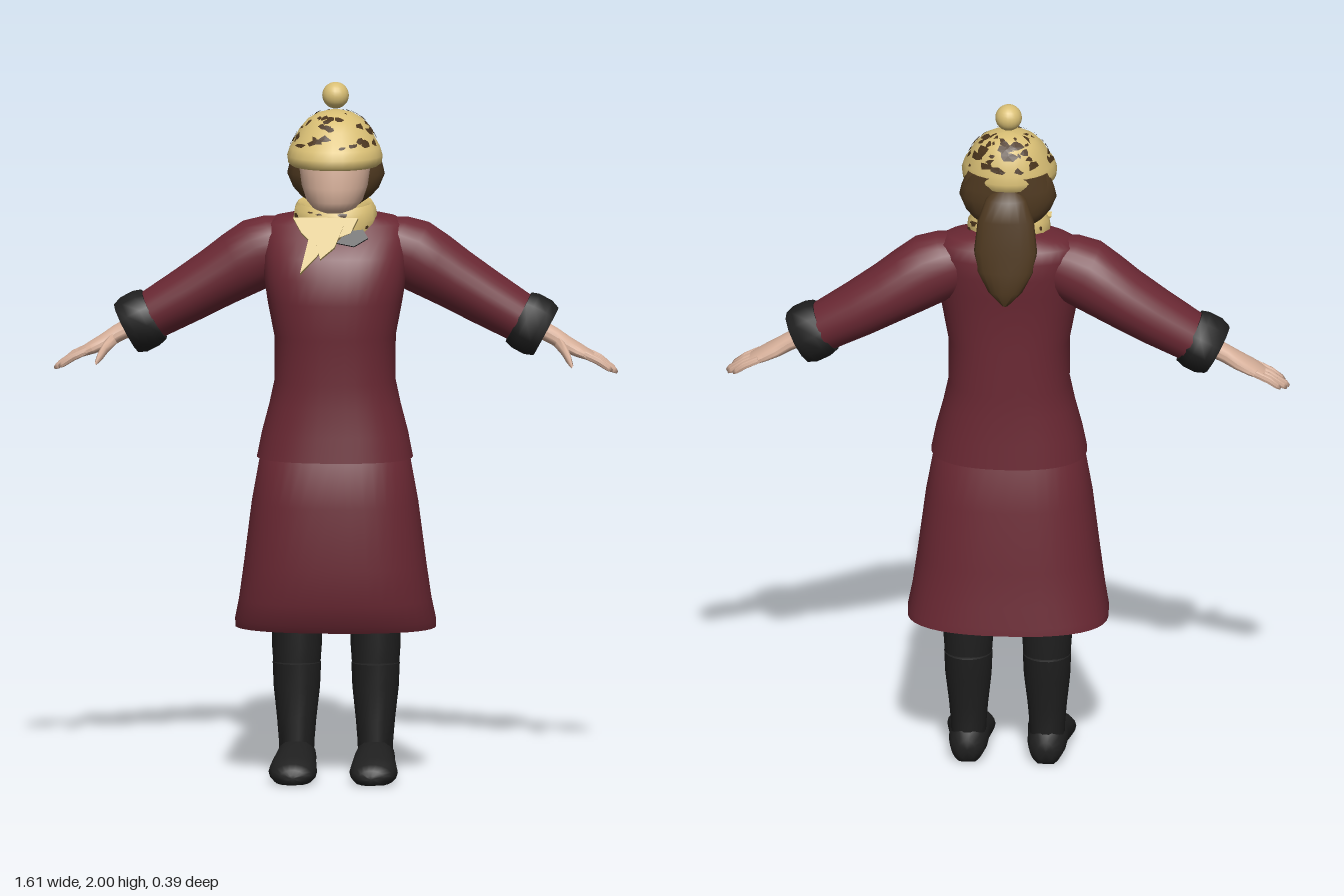
import * as THREE from 'three';
import { mergeGeometries, toCreasedNormals } from 'three/addons/utils/BufferGeometryUtils.js';

const mat = (name, color, side = THREE.FrontSide) => {
  const m = new THREE.MeshStandardMaterial({ color, side });
  m.name = name;
  return m;
};

// Closed skin over rings [y, centreX, centreZ, radiusX, radiusZ], listed upwards;
// a power below 1 squares the ellipse off
function loft(rings, n = 24, crease = 0.9, power = 1) {
  const pos = [], idx = [];
  const bend = v => Math.sign(v) * Math.abs(v) ** power;
  for (const [y, cx, cz, rx, rz] of rings) {
    for (let j = 0; j < n; j++) {
      const a = (j / n) * Math.PI * 2;
      pos.push(cx + rx * bend(Math.cos(a)), y, cz + rz * bend(Math.sin(a)));
    }
  }
  const last = (rings.length - 1) * n, c0 = rings.length * n;
  for (const r of [rings[0], rings[rings.length - 1]]) pos.push(r[1], r[0], r[2]);
  for (let j = 0; j < n; j++) {
    const k = (j + 1) % n;
    for (let i = 0; i < last; i += n) idx.push(i + j, i + n + j, i + k, i + k, i + n + j, i + n + k);
    idx.push(c0, j, k, c0 + 1, last + k, last + j);
  }
  const g = new THREE.BufferGeometry();
  g.setAttribute('position', new THREE.Float32BufferAttribute(pos, 3));
  g.setIndex(idx);
  return toCreasedNormals(g, crease);
}

// Irregular thin patches scattered over a lofted surface between ring t0 and t1
function patches(rings, t0, t1, count, size, seed, centre) {
  const rnd = () => (seed = (seed * 16807) % 2147483647) / 2147483647;
  const c = new THREE.Vector3(...centre), pos = [];
  const at = (t, a) => {
    t = Math.min(Math.max(t, 0), rings.length - 1.001);
    const i = Math.floor(t);
    const [y, cx, cz, rx, rz] = rings[i].map((v, k) => v + (rings[i + 1][k] - v) * (t - i));
    const p = new THREE.Vector3(cx + rx * Math.cos(a), y, cz + rz * Math.sin(a));
    return p.addScaledVector(p.clone().sub(c).normalize(), 0.003);
  };
  for (let s = 0; s < count; s++) {
    const t = t0 + (t1 - t0) * rnd(), a = rnd() * Math.PI * 2, r = size * (0.4 + 0.8 * rnd());
    const wide = 0.5 + rnd(), pts = [];
    for (let k = 0; k < 7; k++) {
      const th = (k / 7) * Math.PI * 2, q = r * (0.4 + rnd());
      pts.push(at(t + (q * Math.cos(th)) / 0.04, a + (q * wide * Math.sin(th)) / 0.1));
    }
    const mid = at(t, a);
    pts.forEach((p, k) => pos.push(...mid, ...p, ...pts[(k + 1) % 7]));
  }
  const g = new THREE.BufferGeometry();
  g.setAttribute('position', new THREE.Float32BufferAttribute(pos, 3));
  g.computeVertexNormals();
  return g;
}

// Flat cloth piece cut from an outline, sloping forward as it hangs on the chest
function cloth(points, depth, z) {
  const g = new THREE.ExtrudeGeometry(new THREE.Shape(points.map(p => new THREE.Vector2(p[0], p[1] - 1.6))),
    { depth, bevelEnabled: false });
  return g.rotateX(-0.4).translate(0, 1.6, z);
}

export function createModel() {
  const model = new THREE.Group();
  const burgundy = mat('burgundy wool', 0x6a2833);
  const charcoal = mat('charcoal', 0x1f1f1f);
  const skin = mat('skin', 0xd8b19b);
  const hair = mat('brown hair', 0x4f3920);
  const straw = mat('straw knit', 0xd8be74);
  const spot = mat('dark brown spots', 0x4a341c, THREE.DoubleSide);
  const add = (name, g, m, parent = model) => {
    const mesh = new THREE.Mesh(g, m);
    mesh.name = name;
    parent.add(mesh);
    return mesh;
  };

  // Long skirt with the hem tucked under, and the jacket over it
  add('skirt', loft([
    [0.475, 0, -0.01, 0.17, 0.1], [0.45, 0, -0.015, 0.25, 0.15], [0.438, 0, -0.018, 0.286, 0.175],
    [0.46, 0, -0.01, 0.286, 0.181], [0.52, 0, 0.004, 0.274, 0.186], [0.62, 0, 0.012, 0.26, 0.184],
    [0.8, 0, 0.02, 0.237, 0.174], [0.95, 0, 0.023, 0.21, 0.152], [1.0, 0, 0.02, 0.18, 0.13]], 40, 0.9, 0.82), burgundy);
  add('jacket', loft([
    [0.935, 0, 0.022, 0.21, 0.15], [0.93, 0, 0.022, 0.222, 0.163], [1.0, 0, 0.021, 0.208, 0.157],
    [1.08, 0, 0.02, 0.187, 0.15], [1.15, 0, 0.02, 0.172, 0.149], [1.28, 0, 0.022, 0.173, 0.151],
    [1.38, 0, 0.027, 0.192, 0.156], [1.45, 0, 0.018, 0.203, 0.154], [1.51, 0, 0.004, 0.206, 0.146],
    [1.56, 0, -0.018, 0.206, 0.124], [1.595, 0, -0.03, 0.2, 0.1], [1.612, 0, -0.03, 0.17, 0.085],
    [1.628, 0, -0.02, 0.09, 0.075]], 40, 1.2, 0.85), burgundy);

  for (const s of [1, -1]) {
    const side = s > 0 ? 'left' : 'right';
    // Arm runs along local y, with local x pointing down
    const arm = new THREE.Group();
    arm.name = side + 'Arm';
    arm.position.set(0.12 * s, 1.535, 0);
    arm.rotation.z = -s * 2.059;
    model.add(arm);
    const limb = (rings, n, crease) => loft(rings.map(([y, cx, ...r]) => [y, cx * s, ...r]), n, crease);
    add(side + 'Sleeve', limb([
      [-0.03, 0.0, -0.03, 0.07, 0.07], [0.04, -0.012, -0.032, 0.095, 0.088], [0.1, -0.019, -0.036, 0.102, 0.097],
      [0.17, -0.016, -0.043, 0.096, 0.098], [0.24, -0.011, -0.048, 0.088, 0.097],
      [0.34, -0.005, -0.05, 0.08, 0.092], [0.47, 0, -0.048, 0.07, 0.078]], 24), burgundy, arm);
    add(side + 'Cuff', limb([
      [0.45, 0, -0.047, 0.066, 0.07], [0.452, 0, -0.047, 0.08, 0.08], [0.475, 0, -0.047, 0.087, 0.088],
      [0.515, 0, -0.046, 0.087, 0.086], [0.54, 0, -0.045, 0.077, 0.077], [0.535, 0, -0.045, 0.05, 0.052]],
      11, 0.7), charcoal, arm);
    // Palm, four fingers and thumb
    add(side + 'Palm', limb([
      [0.5, 0, -0.045, 0.028, 0.034], [0.57, 0, -0.043, 0.025, 0.034], [0.61, 0.003, -0.039, 0.023, 0.045],
      [0.65, 0.002, -0.039, 0.019, 0.049], [0.69, 0, -0.041, 0.012, 0.046]], 14), skin, arm);
    [0.75, 0.768, 0.774, 0.758].forEach((tip, i) => {
      const z = -0.077 + i * 0.024;
      add(side + 'Finger' + (i + 1), limb([
        [0.665, 0, z, 0.011, 0.012], [0.71, -0.002, z, 0.011, 0.012],
        [tip - 0.012, 0.002, z, 0.009, 0.01], [tip, 0.004, z, 0.004, 0.004]], 8, 1.5), skin, arm);
    });
    add(side + 'Thumb', limb([
      [0.58, 0.005, -0.025, 0.018, 0.028], [0.61, 0.014, 0.012, 0.015, 0.024],
      [0.634, 0.026, 0.048, 0.012, 0.018], [0.652, 0.036, 0.074, 0.005, 0.007]], 8, 1.5), skin, arm);

    // Trouser leg, boot shaft and foot
    const x = 0.112 * s;
    add(side + 'TrouserLeg', loft([
      [0.31, x, -0.042, 0.066, 0.066], [0.38, x, -0.042, 0.071, 0.071], [0.55, x, -0.042, 0.073, 0.073]], 18), charcoal);
    add(side + 'BootShaft', loft([
      [0.04, x, -0.03, 0.048, 0.062], [0.11, x, -0.03, 0.051, 0.062], [0.17, x, -0.032, 0.056, 0.061],
      [0.26, x, -0.04, 0.066, 0.07], [0.33, x, -0.042, 0.069, 0.075], [0.335, x, -0.042, 0.06, 0.066]], 18), charcoal);
    const foot = loft([
      [-0.102, x, -0.045, 0.025, 0.03], [-0.088, x, -0.05, 0.046, 0.052], [-0.04, x, -0.055, 0.056, 0.062],
      [0.02, x, -0.055, 0.058, 0.06], [0.07, x + 0.002 * s, -0.045, 0.064, 0.052],
      [0.12, x + 0.003 * s, -0.036, 0.069, 0.044], [0.165, x + 0.002 * s, -0.03, 0.058, 0.034],
      [0.185, x, -0.027, 0.037, 0.022], [0.192, x, -0.025, 0.014, 0.01]], 18, 1.2).rotateX(Math.PI / 2);
    const p = foot.attributes.position;
    for (let i = 0; i < p.count; i++) p.setY(i, Math.max(p.getY(i), 0.004));
    add(side + 'BootFoot', toCreasedNormals(foot, 0.9), charcoal);
  }

  // Neck, blank face and hair
  add('neck', loft([[1.58, 0, 0, 0.06, 0.06], [1.7, 0, 0.01, 0.055, 0.055]], 16), skin);
  add('face', loft([
    [1.638, 0, 0.075, 0.035, 0.035], [1.648, 0, 0.062, 0.06, 0.064], [1.67, 0, 0.05, 0.08, 0.087],
    [1.71, 0, 0.04, 0.094, 0.1], [1.76, 0, 0.035, 0.101, 0.101], [1.82, 0, 0.03, 0.1, 0.1]], 24, 1.3), skin);
  add('hair', loft([
    [1.645, 0, -0.035, 0.065, 0.045], [1.67, 0, -0.032, 0.1, 0.064], [1.695, 0, -0.03, 0.122, 0.07],
    [1.735, 0, -0.03, 0.139, 0.074], [1.765, 0, -0.03, 0.132, 0.074], [1.81, 0, -0.03, 0.115, 0.074]], 24, 1.3), hair);
  add('ponytail', loft([
    [1.44, 0, -0.146, 0.008, 0.007], [1.48, 0, -0.142, 0.048, 0.02], [1.54, 0, -0.133, 0.08, 0.026],
    [1.6, 0, -0.124, 0.09, 0.028], [1.69, 0, -0.114, 0.08, 0.031], [1.75, 0, -0.1, 0.058, 0.032],
    [1.785, 0, -0.075, 0.025, 0.02]], 18, 1.3), hair);

  // Knit hat with rolled brim, spots and bobble
  const hat = [
    [1.785, 0, 0.027, 0.11, 0.11], [1.766, 0, 0.028, 0.122, 0.124], [1.774, 0, 0.028, 0.133, 0.135],
    [1.795, 0, 0.027, 0.136, 0.136], [1.818, 0, 0.023, 0.129, 0.128], [1.838, 0, 0.016, 0.117, 0.116],
    [1.868, 0, 0.009, 0.102, 0.101], [1.895, 0, 0.003, 0.079, 0.078], [1.912, 0, 0, 0.05, 0.05],
    [1.92, 0, -0.002, 0.018, 0.018]];
  add('hat', loft(hat, 28, 1.2), straw);
  add('hatSpots', patches(hat, 4.4, 8.2, 68, 0.016, 4021, [0, 1.8, 0.01]), spot);
  add('bobble', new THREE.SphereGeometry(0.038, 20, 14).translate(0, 1.962, -0.004), straw);

  // Scarf wrapped around the neck with a pointed end on the chest
  const wrap = [
    [1.575, 0, 0.022, 0.09, 0.09], [1.592, 0, 0.02, 0.112, 0.102], [1.618, 0, 0.012, 0.12, 0.104],
    [1.645, 0, 0.008, 0.116, 0.1], [1.66, 0, 0.004, 0.107, 0.09], [1.65, 0, 0.004, 0.092, 0.078],
    [1.62, 0, 0.004, 0.075, 0.065]];
  const tilt = g => g.translate(0, -1.62, 0).rotateX(0.12).translate(0, 1.62, 0);
  add('scarfWrap', tilt(loft(wrap, 17, 0.6)), straw);
  add('scarfSpots', tilt(patches(wrap, 1, 3.6, 16, 0.011, 311, [0, 1.61, 0.01])), spot);
  add('scarfEnd', mergeGeometries([
    cloth([[-0.115, 1.62], [-0.09, 1.575], [-0.07, 1.555], [-0.092, 1.455], [-0.05, 1.5], [-0.01, 1.55],
      [0.05, 1.575], [0.07, 1.62]], 0.02, 0.1),
    cloth([[-0.06, 1.6], [-0.035, 1.5], [0.005, 1.535], [0.03, 1.6]], 0.016, 0.109)]), straw);
  // Dark lining showing beneath the wrap
  add('collarLining', cloth([[0.01, 1.55], [0.06, 1.54], [0.1, 1.565], [0.085, 1.59], [0.04, 1.585]], 0.009, 0.108), charcoal);
  return model;
}
